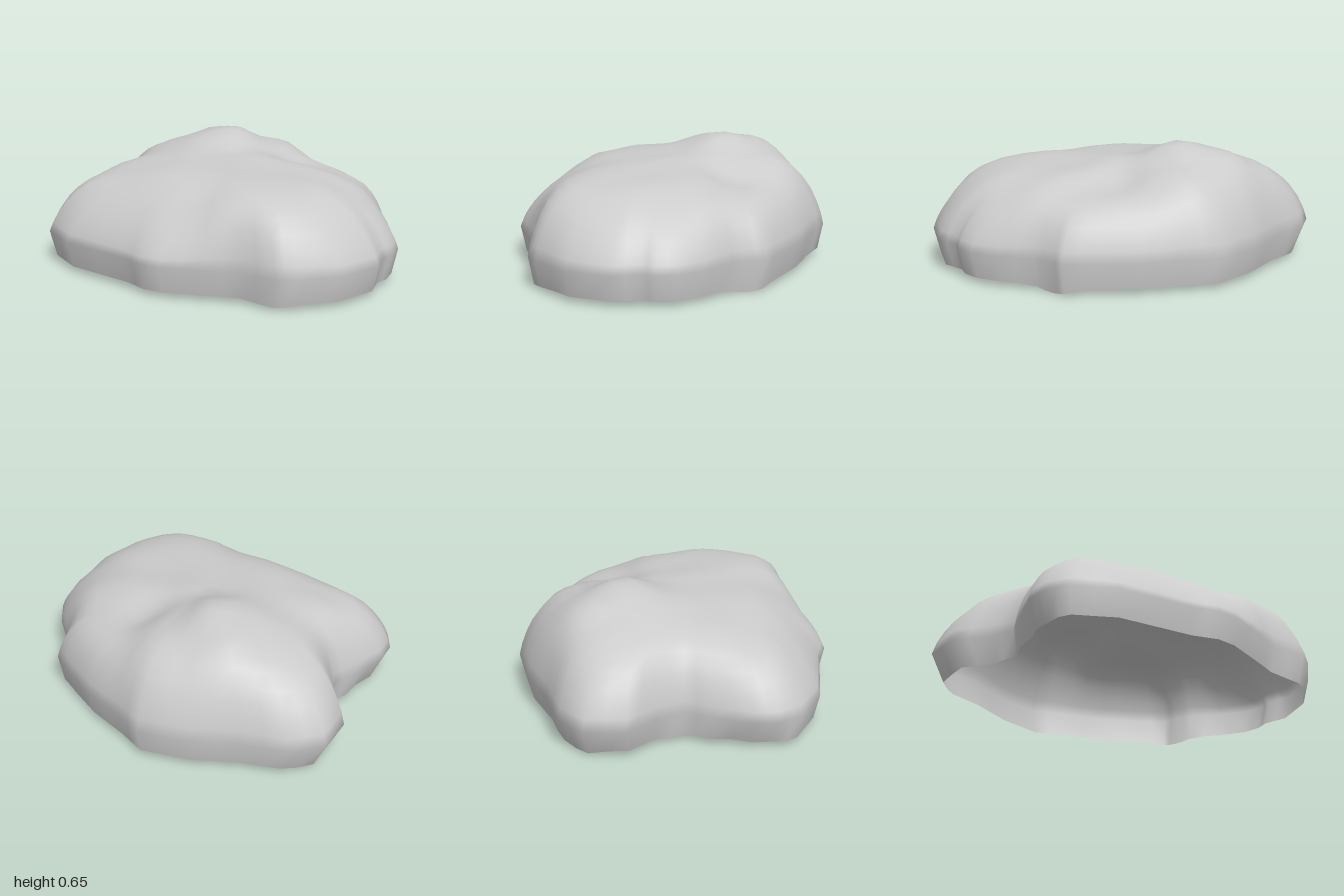
import * as THREE from 'three';

// Plan outline as x, z, running from the +x side round through +z
const OUTLINE = [
  [0.83, -0.17], [0.78, 0], [0.73, 0.24], [0.65, 0.45], [0.58, 0.6], [0.5, 0.63], [0.42, 0.68], [0.3, 0.83],
  [0.18, 0.93], [0.08, 0.96], [0, 0.95], [-0.13, 1], [-0.37, 0.95], [-0.56, 0.8], [-0.62, 0.72], [-0.64, 0.52],
  [-0.72, 0.36], [-0.82, 0.15], [-0.84, 0.04], [-0.81, -0.1], [-0.8, -0.52], [-0.71, -0.74], [-0.6, -0.82], [-0.48, -0.84],
  [-0.25, -0.79], [-0.12, -0.75], [0.02, -0.84], [0.15, -0.98], [0.36, -1], [0.5, -0.88], [0.6, -0.65], [0.74, -0.42],
];

// Crown as x, z, height, wall steepness
const CROWN = [
  // peak and right shoulder
  [0.28, -0.22, 0.68, 8], [0.4, -0.43, 0.63, 8], [0.7, -0.2, 0.56, 8], [0.55, -0.15, 0.57, 8], [0.42, -0.06, 0.56, 8],
  // back lobe
  [0.25, -0.85, 0.53, 8], [0.35, -0.62, 0.56, 8],
  // middle and back
  [0, 0, 0.57, 5], [-0.2, -0.5, 0.55, 6], [-0.5, -0.6, 0.5, 7],
  // gentle left slope
  [-0.4, 0, 0.56, 3.5], [-0.68, 0, 0.54, 3.5], [-0.7, -0.4, 0.51, 4.5],
  // front
  [-0.2, 0.6, 0.55, 5], [-0.1, 0.85, 0.54, 5], [0.1, 0.3, 0.54, 6], [0.12, 0.8, 0.48, 6], [-0.5, 0.6, 0.53, 9],
  // hollow and steep front corner on the model's left
  [0.4, 0.2, 0.47, 8], [0.45, 0.5, 0.45, 10], [0.6, 0.15, 0.48, 8],
];

const RIM_Y = 0.17;
const RINGS = [1, 0.985, 0.96, 0.925, 0.88, 0.82, 0.75, 0.66, 0.56, 0.45, 0.34, 0.23, 0.12];

// Smooth blend of the crown heights and steepnesses, dropping to the rim at s = 1
function surfaceY(x, z, s) {
  let height = 0, steepness = 0, total = 0;
  for (const [cx, cz, h, p] of CROWN) {
    const w = 1 / ((x - cx) ** 2 + (z - cz) ** 2 + 0.015) ** 2;
    height += h * w;
    steepness += p * w;
    total += w;
  }
  const bumps = 0.008 * Math.sin(9 * x + 4 * z) * Math.sin(8 * z - 3 * x + 1);
  const dome = (1 - s ** (steepness / total)) ** 0.8;
  return RIM_Y + (height / total + bumps - RIM_Y) * dome;
}

// Bottom edge, with places that sag to the ground
function bottomY(x, z) {
  const sag = (cx, cz, depth) => depth * Math.exp(-((x - cx) ** 2 + (z - cz) ** 2) / 0.012);
  return 0.03 - sag(0.48, 0.6, 0.03) - sag(0.4, -0.88, 0.02) - sag(-0.6, 0.68, 0.015);
}

function shellGeometry() {
  // Outline with midpoints, and a softened copy that the inner rings follow
  const corners = OUTLINE.map(([x, z]) => new THREE.Vector2(x, z));
  const plan = corners.flatMap((p, i) => [p, p.clone().lerp(corners[(i + 1) % corners.length], 0.5)]);
  const n = plan.length;
  const soft = plan.map((_, i) => {
    const mean = new THREE.Vector2();
    for (let k = -4; k <= 4; k++) mean.add(plan[(i + k + n) % n]);
    return mean.divideScalar(9);
  });

  // Bottom edge, tucked in further under the back lobe, then rings closing over the crown
  const positions = [];
  const index = [];
  for (const p of plan) {
    const tuck = p.y < -0.8 ? 0.93 : 0.965;
    const x = p.x * 0.965, z = p.y * tuck;
    positions.push(x, bottomY(x, z), z);
  }
  for (const s of RINGS) {
    plan.forEach((p, i) => {
      const q = soft[i].clone().lerp(p, s ** 3).multiplyScalar(s);
      positions.push(q.x, surfaceY(q.x, q.y, s), q.y);
    });
  }
  const top = positions.length / 3;
  positions.push(0, surfaceY(0, 0, 0), 0);

  for (let r = 0; r < RINGS.length; r++) {
    for (let i = 0; i < n; i++) {
      const a = r * n + i, b = r * n + (i + 1) % n;
      index.push(a, a + n, b, b, a + n, b + n);
    }
  }
  const last = RINGS.length * n;
  for (let i = 0; i < n; i++) index.push(last + i, top, last + (i + 1) % n);

  const geometry = new THREE.BufferGeometry();
  geometry.setAttribute('position', new THREE.Float32BufferAttribute(positions, 3));
  geometry.setIndex(index);
  geometry.computeVertexNormals();
  return geometry;
}

export function createModel() {
  const group = new THREE.Group();
  group.name = 'rock';
  // Hollow boulder, open underneath
  const shell = new THREE.Mesh(
    shellGeometry(),
    new THREE.MeshStandardMaterial({ color: 0xcccccc, side: THREE.DoubleSide }),
  );
  shell.name = 'rockShell';
  group.add(shell);
  return group;
}
